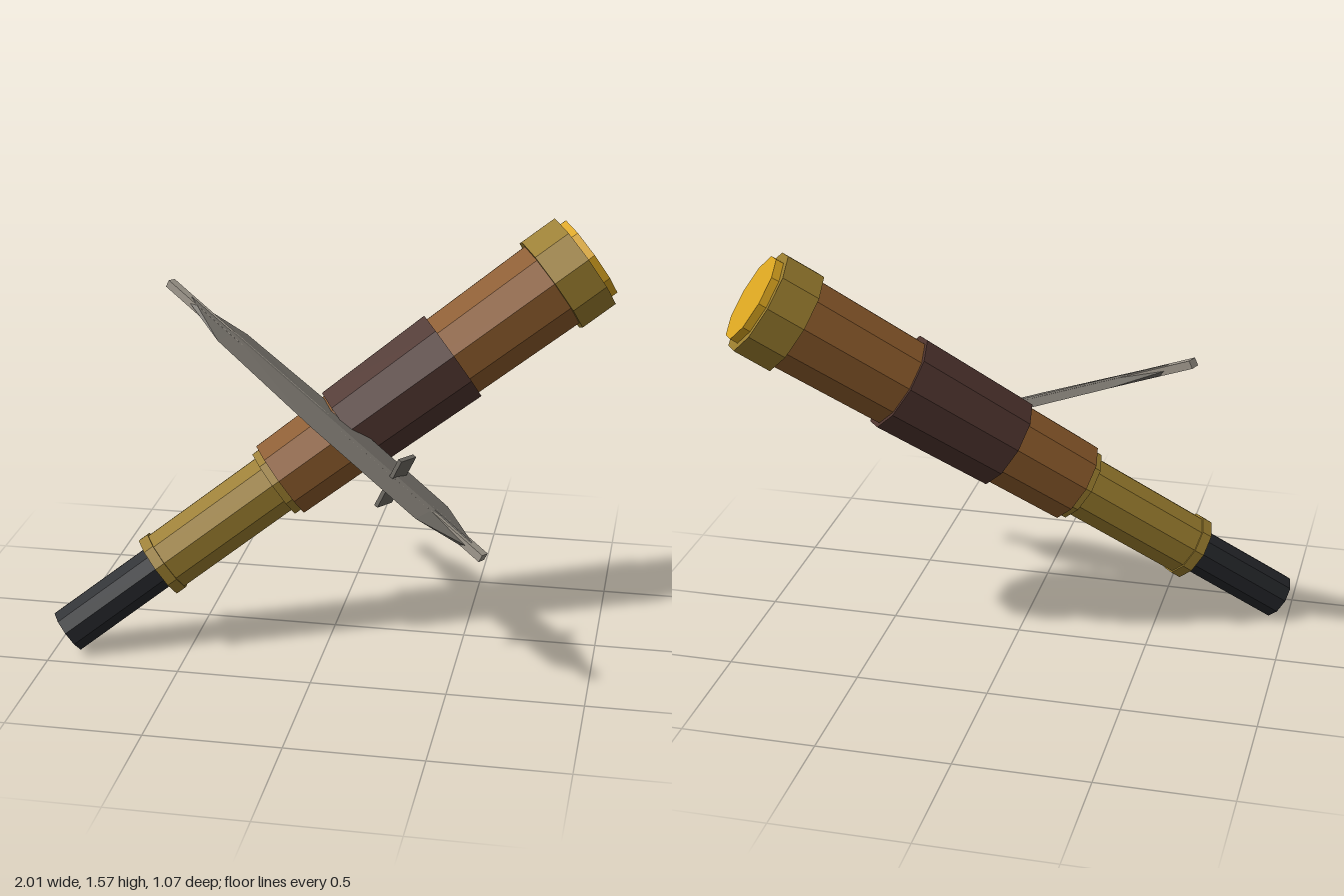
import * as THREE from 'three';

const SIDES = 10;
const mat = (color) => new THREE.MeshStandardMaterial({ color, flatShading: true, side: THREE.DoubleSide });

export function createModel() {
  const model = new THREE.Group();

  const gold = mat(0x9a7d2e), wood = mat(0x8b5a2b), leather = mat(0x4e342e);
  const black = mat(0x25272b), glass = mat(0xdaa520);
  const vaneMat = mat(0x706c65), shaftMat = mat(0x9e978c);

  // Spyglass: faceted tubes stacked along one slanted axis
  const spyglass = new THREE.Group();
  spyglass.name = 'spyglass';
  const start = new THREE.Vector3(-0.95, 0.08, 0.385);
  const axis = new THREE.Vector3(1.845, 1.345, -0.74).normalize();
  spyglass.position.copy(start);
  spyglass.quaternion.setFromUnitVectors(new THREE.Vector3(0, 1, 0), axis);
  model.add(spyglass);

  // name, from, to, radius at from, radius at to, material
  const tubes = [
    ['eyepiece', 0, 0.45, 0.088, 0.088, black],
    ['eyepieceRim', 0.42, 0.46, 0.128, 0.128, gold],
    ['drawTube', 0.44, 1.0, 0.121, 0.123, gold],
    ['drawTubeCollar', 0.955, 1.0, 0.143, 0.143, gold],
    ['body', 0.985, 2.25, 0.16, 0.183, wood],
    ['gripSleeve', 1.3, 1.775, 0.18, 0.192, leather],
    ['frontRing', 2.225, 2.375, 0.204, 0.204, gold],
    ['lens', 2.3, 2.405, 0.174, 0.172, glass],
  ];
  for (const [name, from, to, r0, r1, material] of tubes) {
    const mesh = new THREE.Mesh(new THREE.CylinderGeometry(r1, r0, to - from, SIDES), material);
    mesh.name = name;
    mesh.position.y = (from + to) / 2;
    spyglass.add(mesh);
  }

  // Feather: local x runs along the shaft, y is the vane's normal
  const feather = new THREE.Group();
  feather.name = 'feather';
  const along = new THREE.Vector3(1.32, -0.72, 0.76).normalize();
  const normal = new THREE.Vector3(0.42, 0.88, 0.12);
  normal.addScaledVector(along, -normal.dot(along)).normalize();
  const across = new THREE.Vector3().crossVectors(along, normal);
  feather.quaternion.setFromRotationMatrix(new THREE.Matrix4().makeBasis(along, normal, across));
  feather.position.set(-0.03, 0.92, 0.14);
  model.add(feather);

  const shaft = new THREE.Mesh(new THREE.BoxGeometry(1.67, 0.03, 0.034), shaftMat);
  shaft.name = 'shaft';
  feather.add(shaft);

  // Vane: diamond cross-sections, thick at the shaft and sharp at the edges
  const stations = [[-0.72, 0.012], [-0.48, 0.085], [0.05, 0.105], [0.58, 0.1], [0.77, 0.012]];
  const points = [], index = [];
  for (const [x, w] of stations) points.push(x, 0, w, x, 0.018, 0, x, 0, -w, x, -0.018, 0);
  for (let i = 0; i < stations.length - 1; i++) {
    for (let k = 0; k < 4; k++) {
      const a = i * 4 + k, b = i * 4 + (k + 1) % 4;
      index.push(a, a + 4, b, b, a + 4, b + 4);
    }
  }
  const vaneGeo = new THREE.BufferGeometry();
  vaneGeo.setAttribute('position', new THREE.Float32BufferAttribute(points, 3));
  vaneGeo.setIndex(index);
  vaneGeo.computeVertexNormals();
  const vane = new THREE.Mesh(vaneGeo, vaneMat);
  vane.name = 'vane';
  feather.add(vane);

  // Small plate crossing the vane
  const plate = new THREE.Mesh(new THREE.BoxGeometry(0.016, 0.215, 0.09), vaneMat);
  plate.name = 'crossPlate';
  plate.position.set(0.385, -0.015, -0.02);
  feather.add(plate);

  return model;
}
